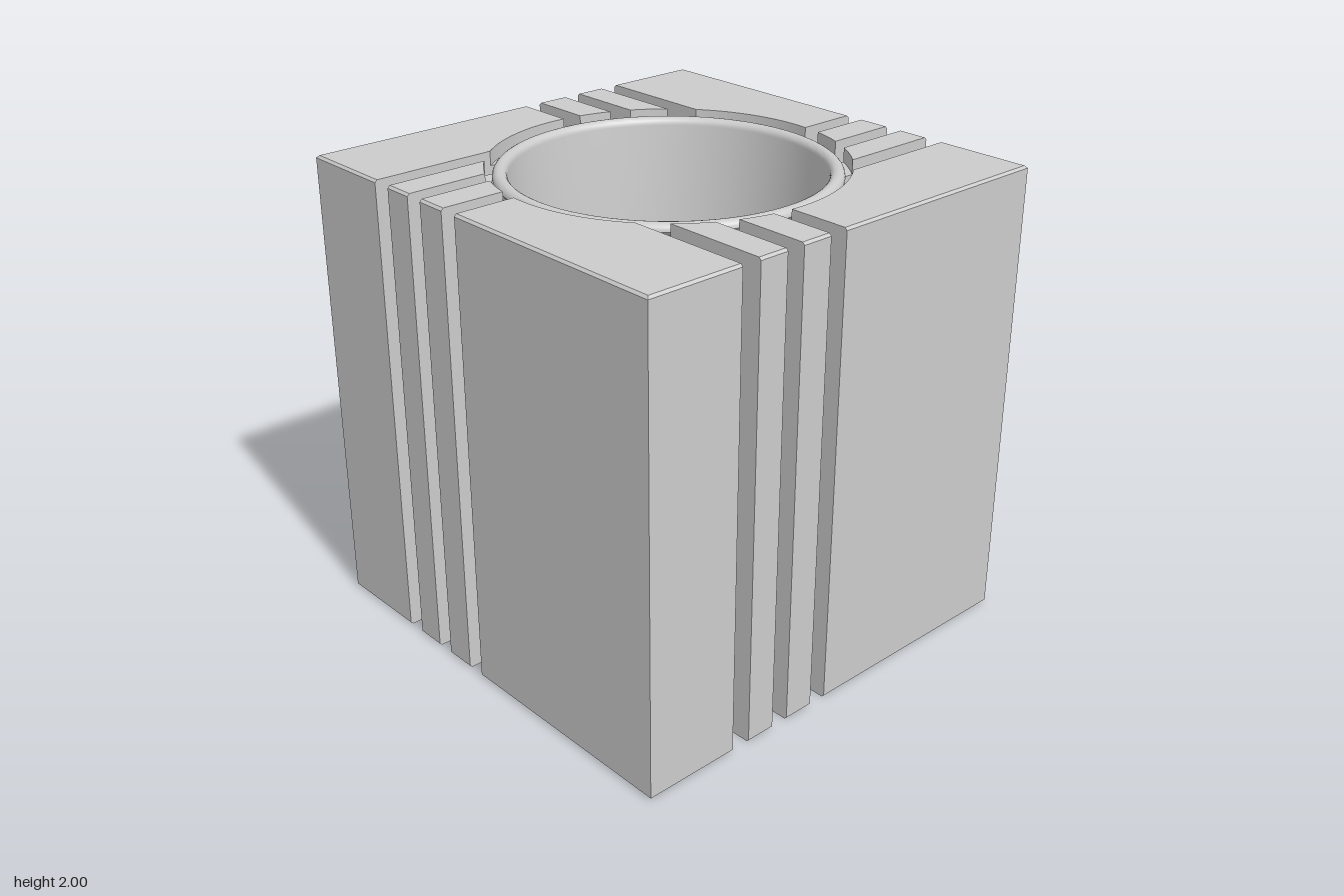
import * as THREE from 'three';
import { toCreasedNormals } from 'three/addons/utils/BufferGeometryUtils.js';

const H = 0.985;       // half width of the block
const BEVEL = 0.01;
const FLOOR = 0.245;   // height of the solid base
// slots on one face, as x ranges; the other faces repeat them by quarter turns
const SLOTS = [[-0.565, -0.48], [-0.35, -0.27], [-0.135, -0.055]];

const material = new THREE.MeshStandardMaterial({ color: 0xcccccc });

// Closed solid through outlines of equal length; each level is { y, points: [[x, z], ...] }
function loft(levels) {
  const pos = [];
  const put = (level, i) => {
    const p = level.points[i % level.points.length];
    pos.push(p[0], level.y, p[1]);
  };
  for (let k = 0; k < levels.length - 1; k++) {
    const lo = levels[k], hi = levels[k + 1];
    for (let i = 0; i < lo.points.length; i++) {
      put(lo, i); put(lo, i + 1); put(hi, i + 1);
      put(lo, i); put(hi, i + 1); put(hi, i);
    }
  }
  const cap = (level, up) => {
    const flat = level.points.map(([x, z]) => new THREE.Vector2(x, -z));
    for (const [a, b, c] of THREE.ShapeUtils.triangulateShape(flat, [])) {
      (up ? [a, b, c] : [a, c, b]).forEach((i) => put(level, i));
    }
  };
  cap(levels[0], false);
  cap(levels[levels.length - 1], true);
  const geometry = new THREE.BufferGeometry();
  geometry.setAttribute('position', new THREE.Float32BufferAttribute(pos, 3));
  return toCreasedNormals(geometry, 0.4);
}

function addMesh(parent, name, geometry) {
  const mesh = new THREE.Mesh(geometry, material);
  mesh.name = name;
  parent.add(mesh);
  return mesh;
}

// Square outline with the notches of all four sides
function baseOutline(h) {
  const side = [[-h, h]];
  for (const [x0, x1] of SLOTS) {
    const depth = Math.sqrt(0.6 ** 2 - x1 ** 2);
    side.push([x0, h], [x0, depth], [x1, depth], [x1, h]);
  }
  const points = [];
  for (let q = 0, part = side; q < 4; q++) {
    points.push(...part);
    part = part.map(([x, z]) => [z, -x]);
  }
  return points;
}

// Concave inner edge of a wall, running from x1 back to x0 on radius r
function boreArc(r, x0, x1, steps) {
  const a1 = Math.asin(x1 / r), a0 = Math.asin(x0 / r);
  return Array.from({ length: steps + 1 }, (_, i) => {
    const a = a1 + (a0 - a1) * i / steps;
    return [r * Math.sin(a), r * Math.cos(a)];
  });
}

function stripOutline(r, h, x0, x1) {
  return [[x0, h], [x1, h], ...boreArc(r, x0, x1, 6)];
}

function cornerOutline(r, h) {
  const x0 = SLOTS[2][1], z0 = -SLOTS[0][0];
  return [[x0, h], [h, h], [h, z0], ...boreArc(r, x0, Math.sqrt(r * r - z0 * z0), 20)];
}

// Walls: tapered bore, then a counterbore ledge, then a bevelled top
function wall(outline) {
  return loft([
    [FLOOR, 0.61, H], [1.94, 0.69, H], [1.94, 0.72, H],
    [2 - BEVEL, 0.72, H], [2, 0.72, H - BEVEL],
  ].map(([y, r, h]) => ({ y, points: outline(r, h) })));
}

export function createModel() {
  const model = new THREE.Group();
  model.name = 'slottedCupHolder';

  // Slotted base slab
  addMesh(model, 'base', loft([[0, H - BEVEL], [BEVEL, H], [FLOOR, H]]
    .map(([y, h]) => ({ y, points: baseOutline(h) }))));

  // Corner blocks and the two strips between slots, on all four sides
  const corner = wall(cornerOutline);
  const strips = [0, 1].map((i) =>
    wall((r, h) => stripOutline(r, h, SLOTS[i][1], SLOTS[i + 1][0])));
  for (let q = 0; q < 4; q++) {
    const side = new THREE.Group();
    side.name = 'wallSide';
    side.rotation.y = q * Math.PI / 2;
    addMesh(side, 'cornerBlock', corner);
    strips.forEach((strip) => addMesh(side, 'wallStrip', strip));
    model.add(side);
  }

  // Tapered cup with a rounded rim
  const profile = [[0, 0.25], [0.6, 0.25], [0.678, 1.94]].map((p) => new THREE.Vector2(...p));
  for (let i = 0; i <= 10; i++) {
    const a = Math.PI * i / 10;
    profile.push(new THREE.Vector2(0.66 + 0.03 * Math.cos(a), 1.955 + 0.03 * Math.sin(a)));
  }
  profile.push(new THREE.Vector2(0.56, 0.32), new THREE.Vector2(0, 0.32));
  addMesh(model, 'cup', toCreasedNormals(new THREE.LatheGeometry(profile, 96), 0.6));

  return model;
}
